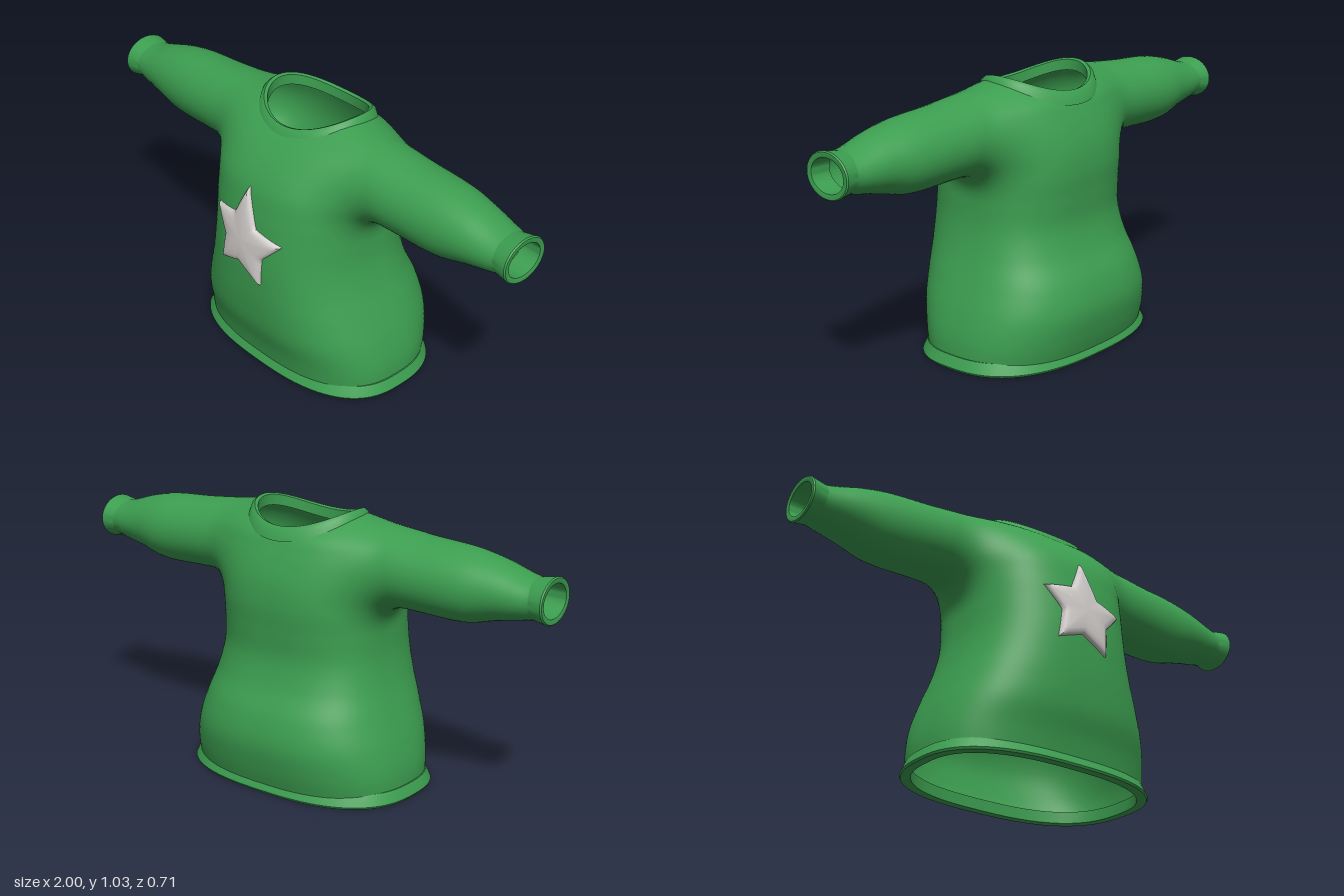
import * as THREE from 'three';
import { toCreasedNormals } from 'three/addons/utils/BufferGeometryUtils.js';

const green = new THREE.MeshStandardMaterial({ color: 0x3c9e50, side: THREE.DoubleSide });
green.name = 'green knit';
const grey = new THREE.MeshStandardMaterial({ color: 0xd0ccca, side: THREE.DoubleSide });
grey.name = 'pale grey patch';

// Smooth interpolation through rows of [position, ...values]
function profile(rows) {
  const n = rows[0].length - 1;
  const curve = new THREE.CubicInterpolant(rows.map(r => r[0]), rows.flatMap(r => r.slice(1)), n, new Float32Array(n));
  return t => curve.evaluate(t);
}

// Torso: height, half width, front depth, back depth
const torso = profile([
  [0, 0.452, 0.268, 0.31], [0.1, 0.448, 0.29, 0.34], [0.2, 0.425, 0.32, 0.355], [0.3, 0.39, 0.333, 0.335],
  [0.4, 0.355, 0.338, 0.29], [0.5, 0.332, 0.338, 0.265], [0.6, 0.325, 0.33, 0.268], [0.7, 0.325, 0.317, 0.274],
  [0.8, 0.325, 0.292, 0.262], [0.9, 0.3, 0.225, 0.225], [0.95, 0.27, 0.165, 0.195], [1, 0.2, 0.08, 0.12], [1.06, 0.02, 0.02, 0.02],
]);
// Sleeve: distance from the middle, top, bottom, front depth, back depth
const sleeve = profile([
  [0, 0.98, 0.75, 0.1, 0.12], [0.2, 0.998, 0.73, 0.13, 0.14], [0.3, 1, 0.718, 0.143, 0.152], [0.4, 0.99, 0.712, 0.145, 0.15],
  [0.5, 0.98, 0.71, 0.14, 0.147], [0.7, 0.965, 0.71, 0.126, 0.138], [0.8, 0.944, 0.735, 0.113, 0.118],
  [0.9, 0.914, 0.755, 0.096, 0.1], [0.95, 0.905, 0.764, 0.088, 0.09], [1, 0.905, 0.764, 0.088, 0.09],
]);

// Radial distance to a superellipse
function ovalDistance(u, v, a, b, p) {
  const r = Math.hypot(u, v) + 1e-6;
  const rho = Math.pow(Math.pow(Math.abs(u / a), p) + Math.pow(Math.abs(v / b), p), 1 / p) + 1e-6;
  return r - r / rho;
}

// Torso and sleeves blended with a soft armpit and shoulder fillet
function field(x, y, z) {
  const [w, f, b] = torso(y);
  const d1 = ovalDistance(x, z, w, z > 0 ? f : b, 2.6);
  const [top, bottom, sf, sb] = sleeve(Math.abs(x));
  const d2 = ovalDistance(y - (top + bottom) / 2, z, (top - bottom) / 2, z > 0 ? sf : sb, 2);
  const k = 0.13, h = THREE.MathUtils.clamp(0.5 + 0.5 * (d2 - d1) / k, 0, 1);
  return d2 * (1 - h) + d1 * h - k * h * (1 - h);
}

function gradient(x, y, z, e = 0.004) {
  return new THREE.Vector3(
    field(x + e, y, z) - field(x - e, y, z),
    field(x, y + e, z) - field(x, y - e, z),
    field(x, y, z + e) - field(x, y, z - e)).divideScalar(2 * e);
}

// One-piece cloth: a net of quads over the blended form, open at hem, cuffs and neck
function clothGeometry() {
  const s = 0.02, min = [-0.96, 0.02, -0.42], size = [97, 54, 43];
  const id = (i, j, k) => (i * size[1] + j) * size[2] + k;
  const values = new Float32Array(size[0] * size[1] * size[2]);
  const each = fn => {
    for (let i = 0; i < size[0]; i++) for (let j = 0; j < size[1]; j++) for (let k = 0; k < size[2]; k++) fn(i, j, k);
  };
  each((i, j, k) => { values[id(i, j, k)] = field(min[0] + i * s, min[1] + j * s, min[2] + k * s); });

  const positions = [], normals = [], inNeck = [], vertexOf = new Map();
  const axes = [[1, 0, 0], [0, 1, 0], [0, 0, 1]];
  each((i, j, k) => {
    if (i === size[0] - 1 || j === size[1] - 1 || k === size[2] - 1) return;
    const p = new THREE.Vector3();
    let hits = 0;
    for (let c = 0; c < 8; c++) {
      const o = [c & 1, (c >> 1) & 1, (c >> 2) & 1];
      const a = values[id(i + o[0], j + o[1], k + o[2])];
      for (let d = 0; d < 3; d++) {
        if (o[d]) continue;
        const q = o.map((n, m) => n + axes[d][m]);
        const b = values[id(i + q[0], j + q[1], k + q[2])];
        if ((a < 0) === (b < 0)) continue;
        const t = a / (a - b);
        p.add(new THREE.Vector3(...o.map((n, m) => n + t * axes[d][m])));
        hits++;
      }
    }
    if (!hits) return;
    p.divideScalar(hits).add(new THREE.Vector3(i, j, k)).multiplyScalar(s).add(new THREE.Vector3(...min));
    const g = gradient(p.x, p.y, p.z);
    p.addScaledVector(g, -THREE.MathUtils.clamp(field(p.x, p.y, p.z) / g.lengthSq(), -0.01, 0.01));
    // Neck opening: points inside the oval slide out to its rim
    const nx = p.x / 0.215, nz = (p.z + 0.0225) / 0.178, r = Math.hypot(nx, nz);
    const inside = p.y > 0.88 && r < 1;
    if (inside && r > 0.6) {
      p.x /= r;
      p.z = (p.z + 0.0225) / r - 0.0225;
    }
    g.normalize();
    vertexOf.set(id(i, j, k), inNeck.length);
    inNeck.push(inside);
    positions.push(p.x, p.y, p.z);
    normals.push(g.x, g.y, g.z);
  });

  const index = [];
  each((i, j, k) => axes.forEach((a, d) => {
    if (i + a[0] >= size[0] || j + a[1] >= size[1] || k + a[2] >= size[2]) return;
    const v0 = values[id(i, j, k)], v1 = values[id(i + a[0], j + a[1], k + a[2])];
    if ((v0 < 0) === (v1 < 0)) return;
    const u = axes[(d + 1) % 3], v = axes[(d + 2) % 3];
    const cell = (m, n) => {
      const c = [i, j, k].map((q, t) => q - m * u[t] - n * v[t]);
      return Math.min(...c) < 0 ? undefined : vertexOf.get(id(...c));
    };
    const q = [cell(1, 1), cell(0, 1), cell(0, 0), cell(1, 0)];
    if (q.includes(undefined) || q.every(n => inNeck[n])) return;
    if (v0 > 0) q.reverse();
    index.push(q[0], q[1], q[2], q[0], q[2], q[3]);
  }));
  const geometry = new THREE.BufferGeometry();
  geometry.setAttribute('position', new THREE.Float32BufferAttribute(positions, 3));
  geometry.setAttribute('normal', new THREE.Float32BufferAttribute(normals, 3));
  geometry.setIndex(index);
  return geometry;
}

// Closed band: a section of [offset, height] carried round an oval path
function bandGeometry(path, section, n = 96) {
  const positions = [], index = [], m = section.length;
  for (let i = 0; i < n; i++) {
    for (let j = 0; j < m; j++) {
      positions.push(...path(i / n * Math.PI * 2, ...section[j]));
      const i2 = (i + 1) % n, j2 = (j + 1) % m;
      const a = i * m + j, b = i2 * m + j, c = i2 * m + j2, d = i * m + j2;
      index.push(a, b, c, a, c, d);
    }
  }
  const geometry = new THREE.BufferGeometry();
  geometry.setAttribute('position', new THREE.Float32BufferAttribute(positions, 3));
  geometry.setIndex(index);
  return toCreasedNormals(geometry, 0.7);
}

// Puffed star lying on the chest
function starGeometry() {
  const corners = [[0, 0.786], [-0.055, 0.668], [-0.166, 0.652], [-0.103, 0.562], [-0.123, 0.449],
    [-0.02, 0.482], [0.086, 0.422], [0.093, 0.533], [0.172, 0.61], [0.056, 0.64]];
  const centre = [-0.005, 0.58], steps = 6, n = corners.length * steps;
  const rings = [[0, 0.022], [0.25, 0.021], [0.5, 0.02], [0.75, 0.018], [0.9, 0.015], [0.97, 0.01], [1, 0.003], [1, -0.008]];
  const chestZ = (x, y) => {
    let a = 0, b = 0.5;
    for (let i = 0; i < 24; i++) {
      const mid = (a + b) / 2;
      if (field(x, y, mid) < 0) a = mid; else b = mid;
    }
    return a;
  };
  const positions = [], index = [];
  rings.forEach(([s, lift], r) => {
    for (let i = 0; i < n; i++) {
      const a = corners[Math.floor(i / steps)], b = corners[(Math.floor(i / steps) + 1) % corners.length], t = (i % steps) / steps;
      const [x, y] = [0, 1].map(c => centre[c] + s * (a[c] + (b[c] - a[c]) * t - centre[c]));
      positions.push(x, y, chestZ(x, y) + lift);
      if (r === rings.length - 1) continue;
      const p = r * n + i, q = r * n + (i + 1) % n;
      index.push(p, p + n, q + n, p, q + n, q);
    }
  });
  const geometry = new THREE.BufferGeometry();
  geometry.setAttribute('position', new THREE.Float32BufferAttribute(positions, 3));
  geometry.setIndex(index);
  return toCreasedNormals(geometry, 0.9);
}

export function createModel() {
  const model = new THREE.Group();
  model.name = 'sweater';
  const add = (name, geometry, material) => {
    const mesh = new THREE.Mesh(geometry, material);
    mesh.name = name;
    model.add(mesh);
    return mesh;
  };

  add('bodyAndSleeves', clothGeometry(), green);

  // Flared hem
  const power = v => Math.sign(v) * Math.pow(Math.abs(v), 2 / 2.6);
  add('hem', bandGeometry((t, o, h) => [
    (0.457 + o) * power(Math.cos(t)), h, ((Math.sin(t) > 0 ? 0.272 : 0.312) + o) * power(Math.sin(t))],
  [[-0.02, 0], [-0.02, 0.045], [0, 0.048], [0.004, 0.04], [0.018, 0.008], [0.014, 0]]), green);

  // Collar dipping at front and back
  add('collar', bandGeometry((t, o, h) => [
    (0.2 + o) * Math.cos(t), 1.035 - 0.057 * Math.sin(t) ** 2 + h, -0.0225 + (0.163 + o) * Math.sin(t)],
  [[0, -0.045], [0, -0.005], [0.012, 0], [0.025, -0.01], [0.038, -0.05]]), green);

  // Flared cuffs
  const cuff = bandGeometry((t, o, h) => [(0.06 + o) * Math.cos(t), h, (0.077 + o) * Math.sin(t)],
    [[0, 0.92], [0, 0.998], [0.005, 1], [0.018, 1], [0.022, 0.995], [0.013, 0.945], [0.01, 0.925]], 48);
  for (const side of [1, -1]) {
    const mesh = add(side > 0 ? 'leftCuff' : 'rightCuff', cuff, green);
    mesh.rotation.z = -side * Math.PI / 2;
    mesh.position.y = 0.836;
  }

  add('starPatch', starGeometry(), grey);
  return model;
}
